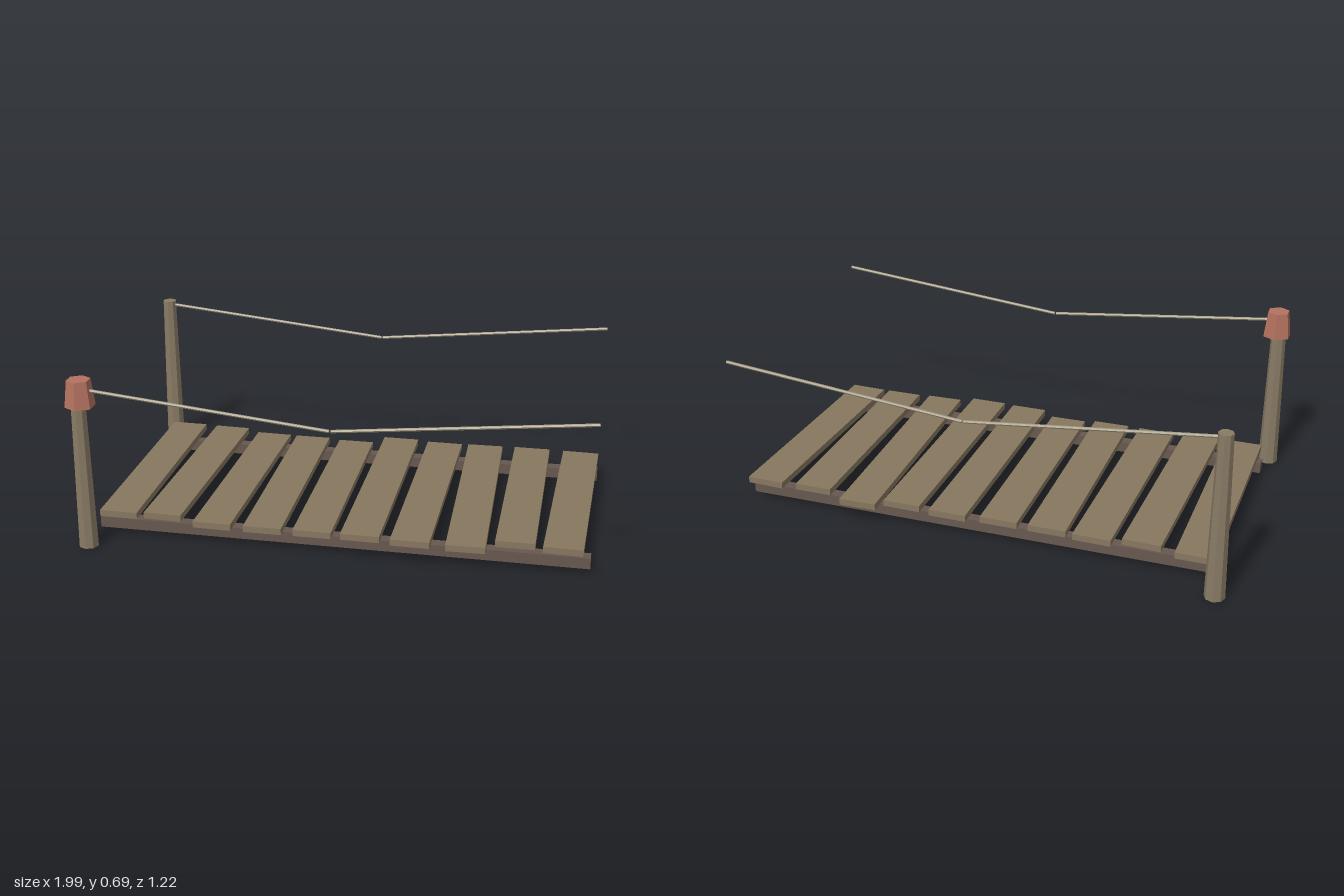
import * as THREE from 'three';

const material = (name, color) => {
  const m = new THREE.MeshStandardMaterial({ color, flatShading: true });
  m.name = name;
  return m;
};

export function createModel() {
  const plankWood = material('plank wood', 0x87775f);
  const postWood = material('post wood', 0x897b65);
  const beamWood = material('dark beam wood', 0x67584f);
  const ropeFibre = material('rope fibre', 0x9c9279);
  const capClay = material('cap red', 0xb47260);

  const model = new THREE.Group();
  model.name = 'plankBridge';
  const add = (name, geometry, mat, x, y, z) => {
    const mesh = new THREE.Mesh(geometry, mat);
    mesh.name = name;
    mesh.position.set(x, y, z);
    model.add(mesh);
    return mesh;
  };

  // Deck planks: centre x, bottom y, back z, front z, skew
  const planks = [
    [-0.86, 0.095, -0.50, 0.465, 0],
    [-0.666, 0.1, -0.48, 0.465, -0.028],
    [-0.467, 0.083, -0.478, 0.473, -0.02],
    [-0.275, 0.084, -0.472, 0.475, 0.005],
    [-0.078, 0.08, -0.467, 0.465, 0.002],
    [0.118, 0.094, -0.503, 0.49, -0.004],
    [0.314, 0.093, -0.49, 0.5, -0.007],
    [0.508, 0.083, -0.52, 0.485, 0.026],
    [0.704, 0.098, -0.49, 0.445, 0.003],
    [0.9, 0.094, -0.495, 0.455, -0.029],
  ];
  for (const [x, y, back, front, skew] of planks) {
    const plank = add('plank', new THREE.BoxGeometry(0.152, 0.026, front - back),
      plankWood, x, y + 0.013, (back + front) / 2);
    plank.rotation.y = skew;
  }

  // Long beams under the deck
  for (const z of [0.405, -0.427]) {
    add('beam', new THREE.BoxGeometry(1.94, 0.045, 0.046), beamWood, 0.02, 0.052, z);
  }

  // Rope segment between two points of the x-y plane
  const ropeSegment = (x0, y0, x1, y1, z) => {
    const length = Math.hypot(x1 - x0, y1 - y0);
    const rope = add('handRope', new THREE.CylinderGeometry(0.0065, 0.0065, length, 6),
      ropeFibre, (x0 + x1) / 2, (y0 + y1) / 2, z);
    rope.rotation.z = Math.atan2(y1 - y0, x1 - x0) - Math.PI / 2;
  };

  // Tapered posts, each with a sagging hand rope
  for (const z of [0.553, -0.572]) {
    add('post', new THREE.CylinderGeometry(0.029, 0.04, 0.67, 8), postWood, -0.955, 0.345, z);
    ropeSegment(-0.95, 0.664, 0.014, 0.565, z);
    ropeSegment(0.02, 0.565, 0.99, 0.664, z);
  }

  // Cap on the front post
  add('postCap', new THREE.CylinderGeometry(0.046, 0.059, 0.107, 6), capClay, -0.948, 0.648, 0.551);

  return model;
}
